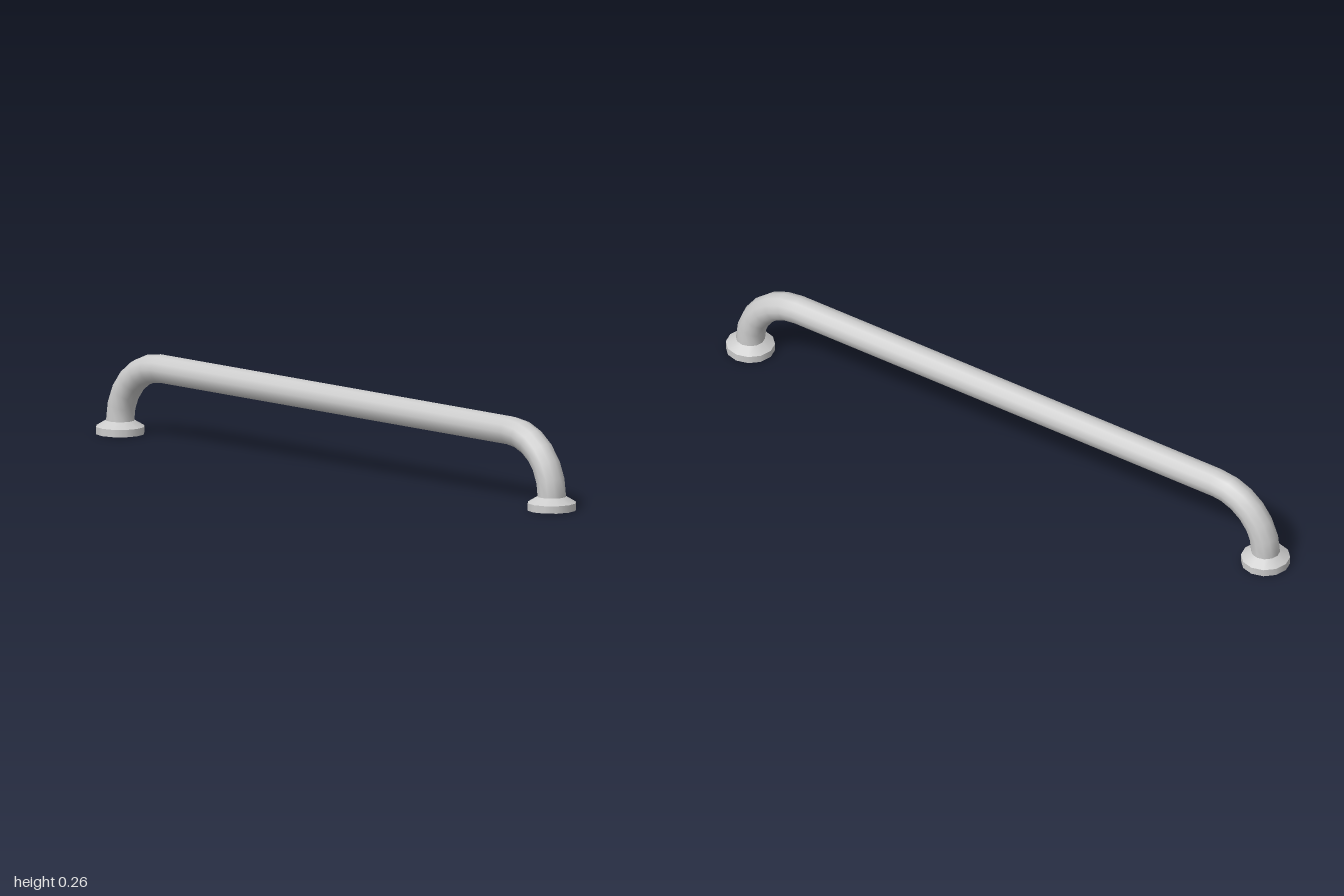
import * as THREE from 'three';

const SIDES = 12;
const TUBE_R = 0.043;   // bar radius
const BEND_R = 0.175;   // bend radius of the bar's centre line
const POST_Z = 0.927;   // distance of each foot from the centre
const FOOT_H = 0.04;
const FOOT_R = 0.073;

const material = new THREE.MeshStandardMaterial({ color: 0xcccccc, side: THREE.DoubleSide });

function part(name, geometry) {
  const mesh = new THREE.Mesh(geometry, material);
  mesh.name = name;
  return mesh;
}

// Bent end with its hollow mounting flange, built on the +z side
function createEnd(name) {
  const end = new THREE.Group();
  end.name = name;

  // quarter bend from the upright foot to the horizontal bar
  const bend = new THREE.TorusGeometry(BEND_R, TUBE_R, SIDES, 6, Math.PI / 2);
  bend.rotateY(-Math.PI / 2).translate(0, FOOT_H, POST_Z - BEND_R);
  end.add(part('bend', bend));

  // flange: short rim with a sloped collar, open underneath
  const rimH = 0.022;
  const rim = new THREE.CylinderGeometry(FOOT_R, FOOT_R, rimH, SIDES, 1, true);
  rim.translate(0, rimH / 2, POST_Z);
  end.add(part('flangeRim', rim));

  const collarH = FOOT_H - rimH;
  const collar = new THREE.CylinderGeometry(TUBE_R, FOOT_R, collarH, SIDES, 1, true);
  collar.translate(0, rimH + collarH / 2, POST_Z);
  end.add(part('flangeCollar', collar));
  return end;
}

export function createModel() {
  const model = new THREE.Group();
  model.name = 'grabHandle';

  // straight bar
  const bar = new THREE.CylinderGeometry(TUBE_R, TUBE_R, 2 * (POST_Z - BEND_R), SIDES, 1, true);
  bar.rotateX(Math.PI / 2).translate(0, FOOT_H + BEND_R, 0);
  model.add(part('bar', bar));

  // matching ends
  const front = createEnd('frontEnd');
  const back = createEnd('backEnd');
  back.rotation.y = Math.PI;
  model.add(front, back);
  return model;
}
